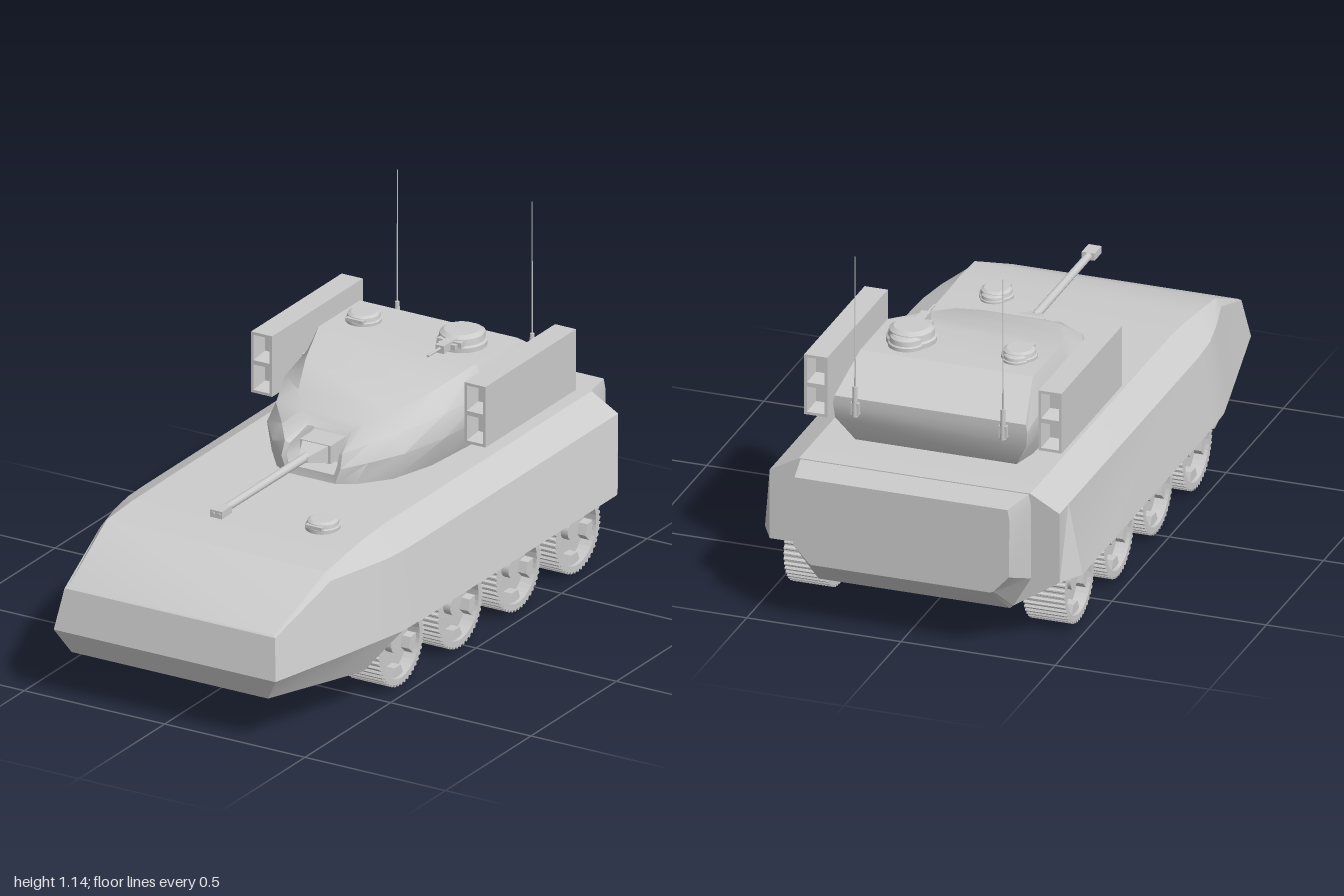
import * as THREE from 'three';
import { toCreasedNormals } from 'three/addons/utils/BufferGeometryUtils.js';

const grey = new THREE.MeshStandardMaterial({ color: 0xcccccc });
const thin = new THREE.MeshStandardMaterial({ color: 0xcccccc, side: THREE.DoubleSide });

function add(parent, name, geometry, x = 0, y = 0, z = 0, material = grey) {
  const mesh = new THREE.Mesh(geometry, material);
  mesh.name = name;
  mesh.position.set(x, y, z);
  parent.add(mesh);
  return mesh;
}
const box = (w, h, d) => new THREE.BoxGeometry(w, h, d);
const cyl = (r1, r2, h, n = 24) => new THREE.CylinderGeometry(r1, r2, h, n);

// Skin over mirrored cross-sections, listed front to back; each holds [x, y, z]
// points of the +x half from bottom to top.
function loft(sections, crease) {
  const pos = [];
  const rings = sections.map(s => [...s, ...s.map(([x, y, z]) => [-x, y, z]).reverse()]);
  const quad = (a, b, c, d) => [a, b, c, a, c, d].forEach(p => pos.push(...p));
  const n = rings[0].length;
  for (let k = 0; k < rings.length - 1; k++) {
    const f = rings[k], b = rings[k + 1];
    for (let i = 0; i < n; i++) {
      const j = (i + 1) % n;
      quad(f[i], b[i], b[j], f[j]);
    }
  }
  const first = rings[0], last = rings[rings.length - 1];
  for (let i = 0; i < n / 2 - 1; i++) {
    quad(first[i], first[i + 1], first[n - 2 - i], first[n - 1 - i]);
    quad(last[n - 1 - i], last[n - 2 - i], last[i + 1], last[i]);
  }
  const g = new THREE.BufferGeometry();
  g.setAttribute('position', new THREE.Float32BufferAttribute(pos, 3));
  return toCreasedNormals(g, crease);
}

function hullGeometry() {
  const at = (z, pts) => pts.map(([x, y]) => [x, y, z]);
  const main = [[0.31, 0.11], [0.31, 0.22], [0.515, 0.22], [0.47, 0.45], [0.375, 0.503]];
  return loft([
    [[0.34, 0.15, 0.97], [0.35, 0.15, 0.97], [0.395, 0.225, 1], [0.375, 0.355, 0.97], [0.365, 0.36, 0.965]],
    at(0.7, [[0.39, 0.123], [0.41, 0.125], [0.458, 0.22], [0.41, 0.455], [0.39, 0.48]]),
    at(0.56, [[0.42, 0.11], [0.44, 0.112], [0.488, 0.22], [0.445, 0.455], [0.385, 0.493]]),
    at(0.45, [[0.31, 0.11], [0.31, 0.22], [0.511, 0.22], [0.465, 0.452], [0.378, 0.499]]),
    at(0.34, main),
    at(-0.8, main),
    at(-0.88, [[0.31, 0.11], [0.31, 0.22], [0.47, 0.22], [0.47, 0.45], [0.375, 0.503]]),
    at(-0.88, [[0.31, 0.11], [0.32, 0.12], [0.378, 0.22], [0.378, 0.46], [0.37, 0.5]]),
    [[0.29, 0.21, -1], [0.3, 0.215, -1], [0.35, 0.27, -1], [0.352, 0.46, -1], [0.345, 0.495, -1]],
  ], 0.4);
}

function turretGeometry() {
  const at = (z, pts) => pts.map(([x, y]) => [x, y, z]);
  const wide = [[0.28, 0.5], [0.32, 0.6], [0.32, 0.675], [0.28, 0.76]];
  return loft([
    // recess floor and rim around the gun
    [[0.07, 0.535, 0.06], [0.075, 0.56, 0.05], [0.075, 0.59, 0.04], [0.06, 0.622, 0.01]],
    [[0.08, 0.53, 0.142], [0.09, 0.56, 0.14], [0.088, 0.592, 0.125], [0.07, 0.63, 0.05]],
    [[0.085, 0.5, 0.145], [0.105, 0.555, 0.145], [0.102, 0.6, 0.13], [0.08, 0.64, 0.04]],
    [[0.14, 0.5, 0.115], [0.17, 0.57, 0.09], [0.155, 0.62, 0.06], [0.11, 0.658, 0.01]],
    [[0.215, 0.5, 0.02], [0.245, 0.585, 0], [0.225, 0.645, -0.02], [0.17, 0.685, -0.06]],
    [[0.26, 0.5, -0.13], [0.298, 0.595, -0.15], [0.285, 0.665, -0.17], [0.23, 0.72, -0.2]],
    at(-0.36, wide),
    at(-0.6, wide),
    [[0.26, 0.5, -0.69], [0.31, 0.59, -0.74], [0.315, 0.64, -0.745], [0.31, 0.665, -0.745]],
  ], 0.55);
}

// Toothed tyre ring, recessed disc and five lugs inside the rim.
function makeWheel() {
  const g = new THREE.Group();
  const tread = new THREE.Shape(), teeth = 44;
  for (let i = 0; i < teeth * 4; i++) {
    const a = (i / (teeth * 4)) * Math.PI * 2, r = i % 4 < 2 ? 0.133 : 0.126;
    tread[i ? 'lineTo' : 'moveTo'](r * Math.cos(a), r * Math.sin(a));
  }
  tread.closePath();
  tread.holes.push(new THREE.Path().absarc(0, 0, 0.108, 0, Math.PI * 2, true));
  const tyre = new THREE.ExtrudeGeometry(tread, { depth: 0.135, bevelEnabled: false, curveSegments: 20 });
  add(g, 'tyre', tyre.translate(0, 0, -0.0675));
  add(g, 'wheelDisc', cyl(0.109, 0.109, 0.05, 40).rotateX(Math.PI / 2));
  const lug = new THREE.Shape([[-0.034, 0.109], [-0.018, 0.075], [0.018, 0.075], [0.034, 0.109]]
    .map(([x, y]) => new THREE.Vector2(x, y)));
  for (let i = 0; i < 5; i++) {
    const geo = new THREE.ExtrudeGeometry(lug, { depth: 0.11, bevelEnabled: false });
    add(g, 'wheelLug', geo.translate(0, 0, -0.055)).rotation.z = Math.PI + i * Math.PI * 0.4;
  }
  add(g, 'axle', cyl(0.03, 0.03, 0.16, 16).rotateX(Math.PI / 2), 0, 0, -0.03);
  return g;
}

// Box with two flared cells, open at both ends.
function makeLauncher() {
  const g = new THREE.Group(), w = 0.075, h = 0.2, d = 0.53;
  const rect = (C, x, y, a, b) => new C([[x - a, y - b], [x + a, y - b], [x + a, y + b], [x - a, y + b]]
    .map(p => new THREE.Vector2(...p)));
  const shape = rect(THREE.Shape, 0, 0, w / 2, h / 2);
  const cells = [-0.049, 0.049];
  cells.forEach(y => shape.holes.push(rect(THREE.Path, 0, y, 0.029, 0.042)));
  const shell = new THREE.ExtrudeGeometry(shape, { depth: d, bevelEnabled: false });
  add(g, 'launcherBox', shell.translate(0, 0, -d / 2));
  for (const y of cells) {
    add(g, 'cellCore', box(0.058, 0.084, d - 0.1), 0, y, 0);
    for (const s of [1, -1]) {
      const funnel = new THREE.CylinderGeometry(Math.SQRT2, Math.SQRT2 * 0.62, 0.05, 4, 1, true)
        .rotateY(Math.PI / 4).rotateX(s * Math.PI / 2).scale(0.029, 0.042, 1).toNonIndexed();
      funnel.computeVertexNormals();
      add(g, 'cellFunnel', funnel, 0, y, s * (d / 2 - 0.025), thin);
    }
  }
  return g;
}

// Egg-shaped hatch: round lid with a narrower hinge end and a vision block.
function makeHatch(name, r, height) {
  const g = new THREE.Group();
  g.name = name;
  const profile = [[0, height], [r * 0.7, height], [r * 0.88, height * 0.8], [r * 0.92, height * 0.4], [r, height * 0.3], [r, -0.01]]
    .map(p => new THREE.Vector2(...p)).reverse();
  const lid = () => toCreasedNormals(new THREE.LatheGeometry(profile, 28), 0.5);
  add(g, 'lid', lid());
  add(g, 'hinge', lid().scale(0.75, 0.75, 0.75), 0, 0, -r * 0.5);
  add(g, 'visionBlock', box(r * 1.1, height * 0.35, 0.02), 0, height * 0.55, r * 0.85);
  return g;
}

export function createModel() {
  const model = new THREE.Group();
  add(model, 'hull', hullGeometry());
  add(model, 'turret', turretGeometry());

  // Wheels
  for (const side of [1, -1]) for (const z of [0.365, 0.02, -0.32, -0.667]) {
    const wheel = makeWheel();
    wheel.name = side > 0 ? 'leftWheel' : 'rightWheel';
    wheel.position.set(side * 0.388, 0.133, z);
    wheel.rotation.y = side * Math.PI / 2;
    model.add(wheel);
  }

  // Main gun
  const gun = new THREE.Group();
  gun.name = 'mainGun';
  add(gun, 'gunBlock', box(0.11, 0.06, 0.09), 0, 0.582, 0.075);
  const snout = cyl(0.022, 0.065, 0.07, 4).rotateY(Math.PI / 4).rotateX(Math.PI / 2).scale(1, 0.6, 1).toNonIndexed();
  snout.computeVertexNormals();
  add(gun, 'gunSnout', snout, 0, 0.582, 0.155);
  add(gun, 'barrel', cyl(0.012, 0.014, 0.5, 16).rotateX(Math.PI / 2), 0, 0.584, 0.42);
  add(gun, 'muzzle', box(0.042, 0.024, 0.06), 0, 0.584, 0.67);
  for (const s of [1, -1]) add(gun, 'muzzleBore', cyl(0.007, 0.007, 0.004, 10).rotateX(Math.PI / 2), s * 0.01, 0.584, 0.701);
  model.add(gun);

  // Launchers, mounts and aerials
  for (const s of [1, -1]) {
    const launcher = makeLauncher();
    launcher.name = s > 0 ? 'leftLauncher' : 'rightLauncher';
    launcher.position.set(s * 0.38, 0.675, -0.455);
    model.add(launcher);
    add(model, 'launcherMount', box(0.05, 0.04, 0.17), s * 0.325, 0.635, -0.45);
    add(model, 'aerialBracket', box(0.026, 0.04, 0.02), s * 0.24, 0.635, -0.75);
    add(model, 'aerialBase', cyl(0.007, 0.01, 0.1, 10), s * 0.24, 0.66, -0.754);
    add(model, 'aerial', cyl(0.0015, 0.0025, 0.46, 6), s * 0.24, 0.915, -0.754);
  }

  // Hatches and cupola
  const driver = makeHatch('driverHatch', 0.054, 0.03);
  driver.position.set(0.225, 0.5, 0.445);
  const roof = makeHatch('roofHatch', 0.056, 0.03);
  roof.position.set(-0.19, 0.76, -0.475);
  const cupola = makeHatch('cupola', 0.078, 0.05);
  cupola.position.set(0.16, 0.76, -0.475);
  model.add(driver, roof, cupola);

  // Roof gun
  add(model, 'roofGunBody', box(0.03, 0.026, 0.08), 0.16, 0.787, -0.385);
  add(model, 'roofGunCradle', box(0.06, 0.016, 0.02), 0.16, 0.783, -0.395);
  add(model, 'roofGunBarrel', cyl(0.004, 0.005, 0.08, 8).rotateX(Math.PI / 2), 0.16, 0.79, -0.315);
  return model;
}
